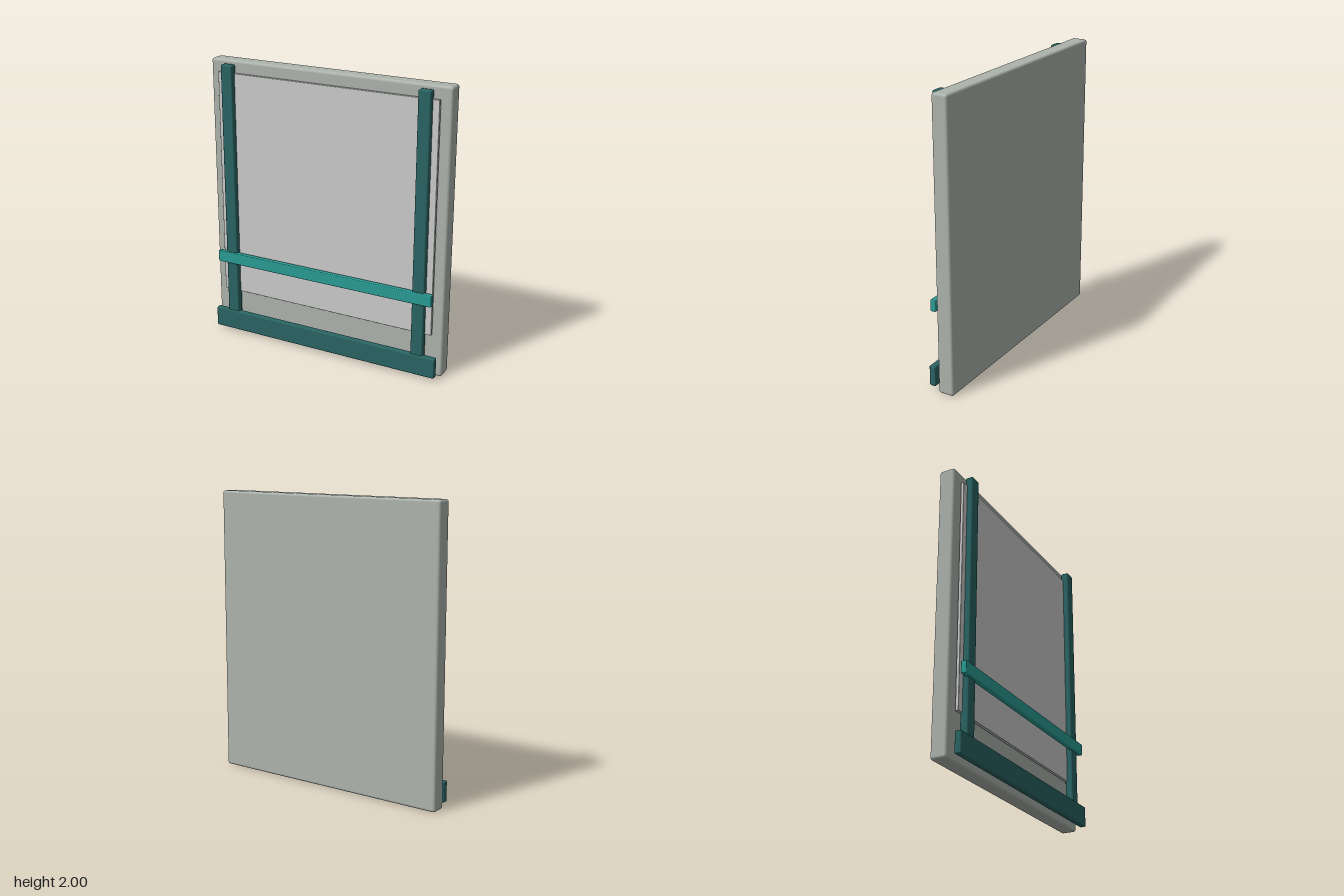
import * as THREE from 'three';
import { RoundedBoxGeometry } from 'three/addons/geometries/RoundedBoxGeometry.js';

const material = (color) => new THREE.MeshStandardMaterial({ color });

// Softly rounded box given by its extents on each axis
function slab(name, [x0, x1], [y0, y1], [z0, z1], radius, mat) {
  const geometry = new RoundedBoxGeometry(x1 - x0, y1 - y0, z1 - z0, 3, radius);
  const mesh = new THREE.Mesh(geometry, mat);
  mesh.name = name;
  mesh.position.set((x0 + x1) / 2, (y0 + y1) / 2, (z0 + z1) / 2);
  return mesh;
}

export function createModel() {
  const group = new THREE.Group();
  group.name = 'drawingBoard';

  const boardMat = material(0xadb3ad);
  const sheetMat = material(0xcccccc);
  const frameMat = material(0x2a6463);
  const barMat = material(0x2a9d95);

  // Backing board and the thin sheet floating just in front of it
  group.add(slab('board', [-0.886, 0.886], [0, 2], [-0.1, 0.012], 0.018, boardMat));
  group.add(slab('sheet', [-0.814, 0.814], [0.31, 1.918], [0.022, 0.044], 0.004, sheetMat));

  // Upright rails, mirrored
  for (const [name, side] of [['leftRail', 1], ['rightRail', -1]]) {
    const x = side * 0.726;
    group.add(slab(name, [x - 0.043, x + 0.043], [0.045, 1.978], [0.028, 0.083], 0.01, frameMat));
  }

  // Bottom ledge and the sliding straightedge
  group.add(slab('ledge', [-0.864, 0.864], [0.021, 0.164], [0.052, 0.096], 0.008, frameMat));
  group.add(slab('straightedge', [-0.828, 0.828], [0.54, 0.622], [0.062, 0.1], 0.006, barMat));

  return group;
}
